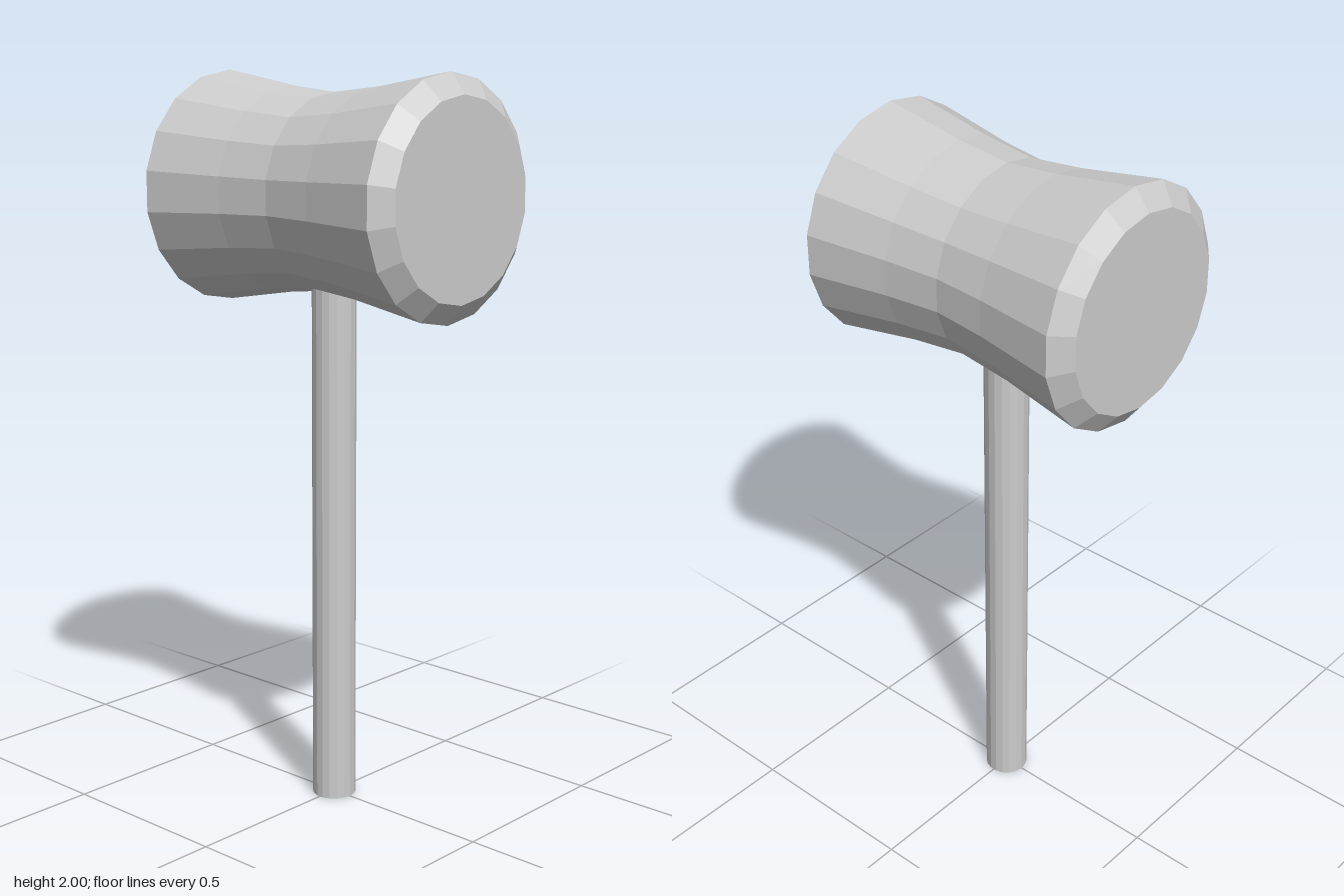
import * as THREE from 'three';

const SIDES = 18;
const HEAD_Y = 1.685;

export function createModel() {
  const model = new THREE.Group();
  model.name = 'mallet';

  const paleGrey = new THREE.MeshStandardMaterial({ color: 0xcccccc });
  paleGrey.name = 'paleGrey';
  paleGrey.flatShading = true;

  // Head: waisted barrel with bevelled rims, turned about the z axis
  const half = [[0.26, 0], [0.276, 0.155], [0.315, 0.39], [0.26, 0.433], [0, 0.433]];
  const profile = [
    ...half.slice(1).reverse().map(([r, z]) => new THREE.Vector2(r, -z)),
    ...half.map(([r, z]) => new THREE.Vector2(r, z)),
  ];
  const headGeometry = new THREE.LatheGeometry(profile, SIDES);
  headGeometry.rotateX(Math.PI / 2);
  const head = new THREE.Mesh(headGeometry, paleGrey);
  head.name = 'head';
  head.position.y = HEAD_Y;
  model.add(head);

  // Handle: straight rod ending inside the head
  const handleHeight = 1.5;
  const handle = new THREE.Mesh(
    new THREE.CylinderGeometry(0.06, 0.06, handleHeight, SIDES),
    paleGrey,
  );
  handle.name = 'handle';
  handle.position.y = handleHeight / 2;
  model.add(handle);

  return model;
}
